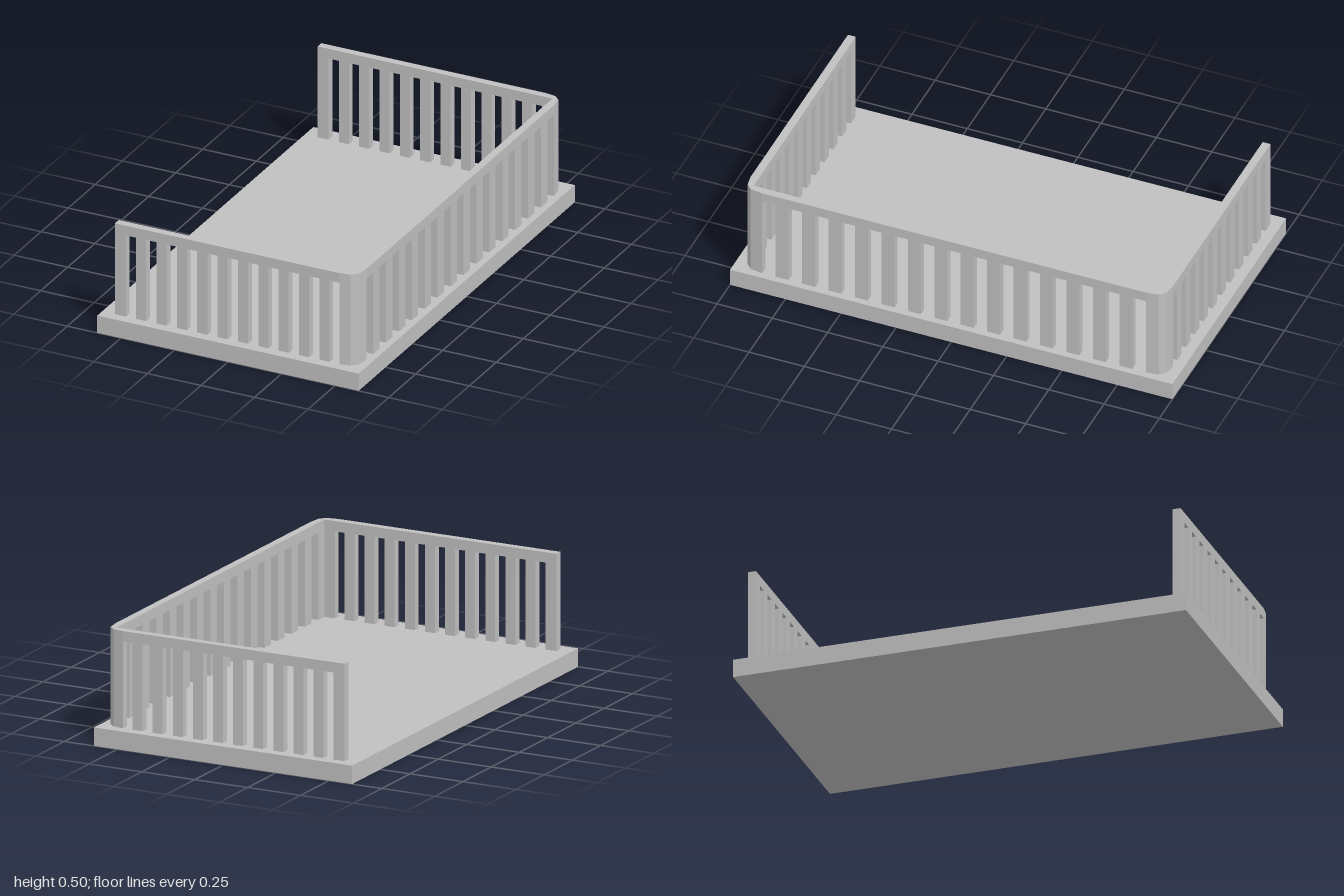
import * as THREE from 'three';

const BASE_TOP = 0.08, RAIL_LOW = 0.457, RAIL_TOP = 0.502;
const X_END = -0.55, X_IN = 0.546, X_OUT = 0.58; // end and side rail faces
const Z_IN = 0.92, Z_OUT = 0.955;                // end rail faces
const X_POST = 0.497, Z_POST = 0.867;            // corner post limits

// Outer faceted corner, from the end rail round to the side rail
const CORNER = [[X_POST, Z_OUT], [0.546, 0.947], [0.572, 0.923], [X_OUT, Z_POST]];

export function createModel() {
  const group = new THREE.Group();
  const grey = new THREE.MeshStandardMaterial({ color: 0xc0c0c0 });
  grey.name = 'light grey';

  function add(name, geometry, x = 0, y = 0, z = 0) {
    const mesh = new THREE.Mesh(geometry, grey);
    mesh.name = name;
    mesh.position.set(x, y, z);
    group.add(mesh);
  }

  // Box from its min and max corners
  function box(name, x0, x1, y0, y1, z0, z1) {
    add(name, new THREE.BoxGeometry(x1 - x0, y1 - y0, z1 - z0),
      (x0 + x1) / 2, (y0 + y1) / 2, (z0 + z1) / 2);
  }

  // Plan outline of [x, z] points raised between two heights
  function prism(name, points, y0, y1) {
    const shape = new THREE.Shape(points.map(([x, z]) => new THREE.Vector2(x, -z)));
    const geometry = new THREE.ExtrudeGeometry(shape, { depth: y1 - y0, bevelEnabled: false });
    geometry.rotateX(-Math.PI / 2);
    add(name, geometry, 0, y0, 0);
  }

  const mirrorZ = (points) => points.map(([x, z]) => [x, -z]);

  // Platform
  box('base', -0.61, 0.61, 0, BASE_TOP, -1, 1);

  // Continuous top rail around three sides
  const half = [[X_IN, Z_IN], [X_END, Z_IN], [X_END, Z_OUT], ...CORNER];
  prism('topRail', [...half, ...mirrorZ(half).reverse()], RAIL_LOW, RAIL_TOP);

  // Corner posts
  const post = [...CORNER, [X_IN, Z_POST], [X_IN, Z_IN], [X_POST, Z_IN]];
  prism('frontCornerPost', post, BASE_TOP, RAIL_LOW);
  prism('backCornerPost', mirrorZ(post), BASE_TOP, RAIL_LOW);

  // End balusters: eleven openings on each end
  const endPitch = 0.095, endGap = 0.048;
  for (const [name, z0, z1] of [['front', Z_IN, Z_OUT], ['back', -Z_OUT, -Z_IN]]) {
    box(name + 'EndPost', X_END, -5 * endPitch - endGap / 2, BASE_TOP, RAIL_LOW, z0, z1);
    for (let i = 0; i < 10; i++) {
      const x = (i - 4.5) * endPitch, w = (endPitch - endGap) / 2;
      box(name + 'Baluster', x - w, x + w, BASE_TOP, RAIL_LOW, z0, z1);
    }
  }

  // Long side balusters: fifteen openings
  const sidePitch = 0.1195, sideGap = 0.061;
  for (let i = 0; i < 14; i++) {
    const z = (i - 6.5) * sidePitch, w = (sidePitch - sideGap) / 2;
    box('sideBaluster', X_IN, X_OUT, BASE_TOP, RAIL_LOW, z - w, z + w);
  }

  return group;
}
